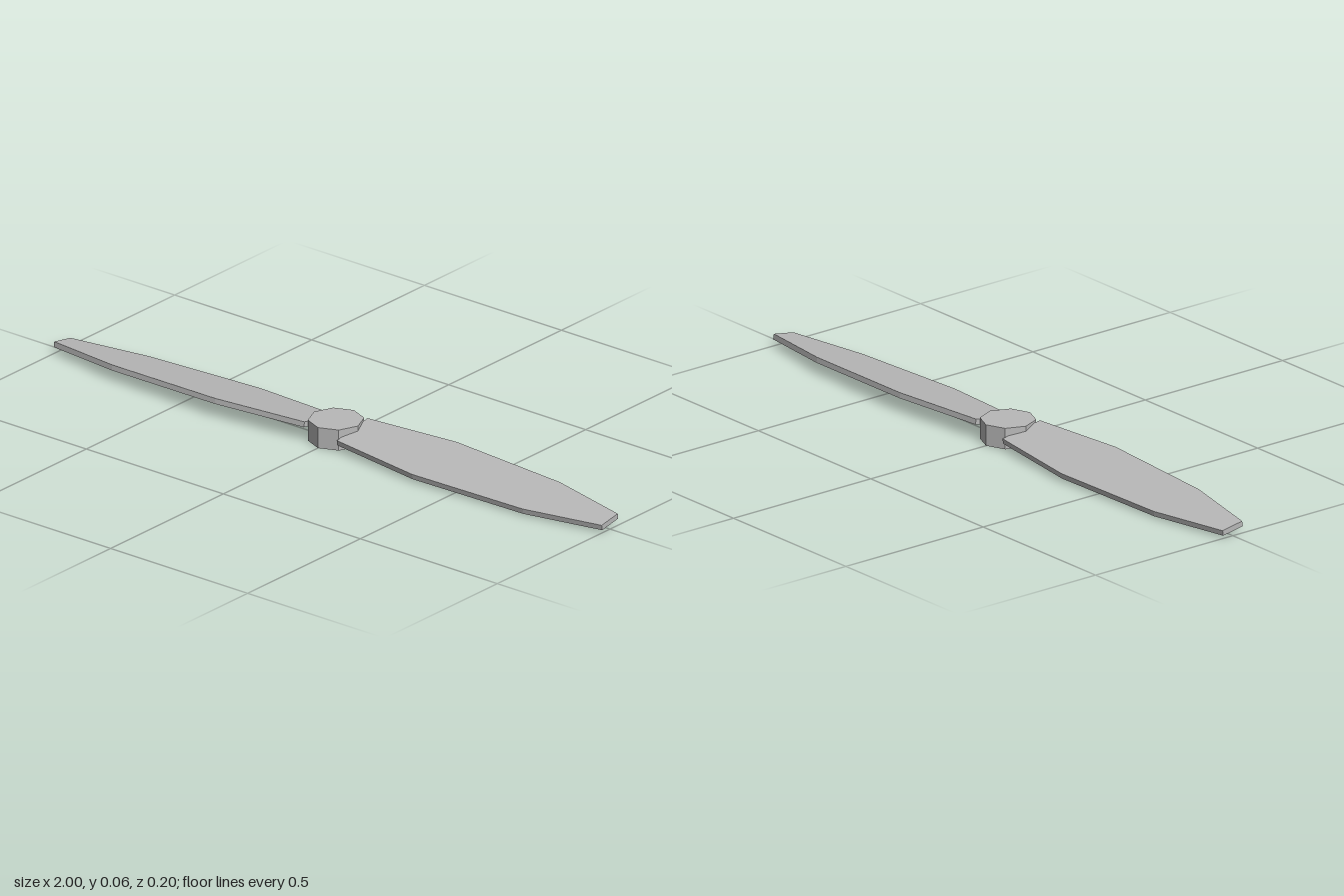
import * as THREE from 'three';

const HALF_THICKNESS = 0.008;
const PITCH = 0.17; // twist about the blade's long axis
const DROOP = 0.019; // slight fall towards the tip

export function createModel() {
  const model = new THREE.Group();
  model.name = 'propeller';

  const grey = new THREE.MeshStandardMaterial({ color: 0xb8b8b8 });
  grey.name = 'light grey';
  grey.flatShading = true;

  // Octagonal hub, corners on the axes
  const hub = new THREE.Mesh(new THREE.CylinderGeometry(0.08, 0.08, 0.063, 8), grey);
  hub.name = 'hub';
  hub.position.y = 0.0315;
  model.add(hub);

  // Blade outline: distance from the axis, half width
  const stations = [[0.06, 0.069], [0.36, 0.1], [0.75, 0.083], [1, 0.036]];
  const outline = [
    ...stations.map(([x, w]) => new THREE.Vector2(x, -w)),
    ...stations.slice().reverse().map(([x, w]) => new THREE.Vector2(x, w)),
  ];
  const bladeGeometry = new THREE.ExtrudeGeometry(new THREE.Shape(outline), {
    depth: HALF_THICKNESS * 2,
    bevelEnabled: false,
  });
  bladeGeometry
    .translate(0, 0, -HALF_THICKNESS)
    .rotateX(-Math.PI / 2 + PITCH)
    .rotateZ(-DROOP)
    .translate(0, 0.041, 0);

  // Two blades, half a turn apart
  ['leftBlade', 'rightBlade'].forEach((name, i) => {
    const blade = new THREE.Mesh(bladeGeometry, grey);
    blade.name = name;
    blade.rotation.y = i * Math.PI;
    model.add(blade);
  });

  return model;
}
